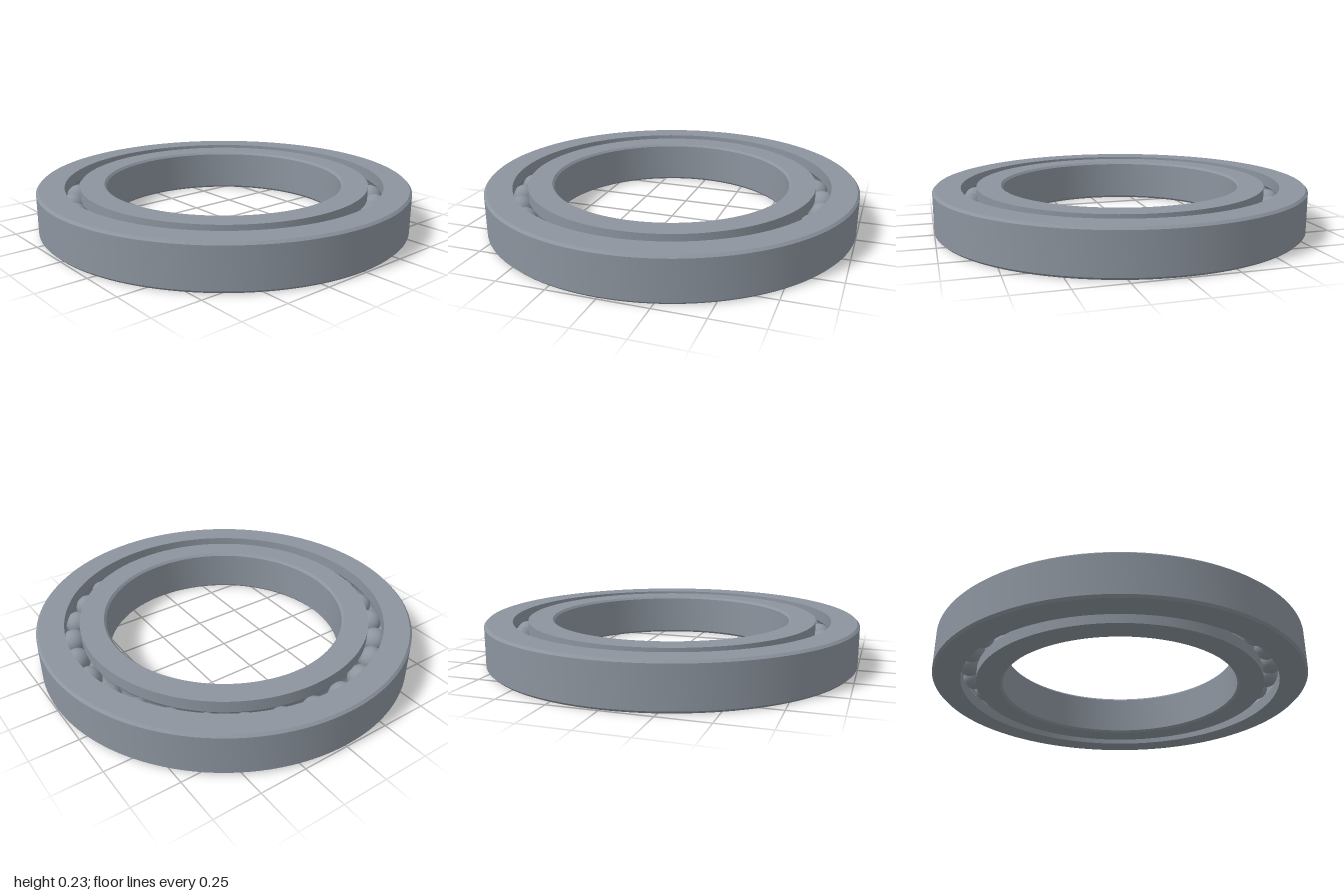
import * as THREE from 'three';
import { toCreasedNormals } from 'three/addons/utils/BufferGeometryUtils.js';

const HEIGHT = 0.23, MID = HEIGHT / 2;
const OUTER = 1, BORE = 0.635, CHAMFER = 0.012;
const OUTER_LIP = 0.855, INNER_LIP = 0.775;
const PITCH = (OUTER_LIP + INNER_LIP) / 2;
const BALL_RADIUS = 0.065, GROOVE_RADIUS = 0.066, BALL_COUNT = 29;

export function createModel() {
  const model = new THREE.Group();
  model.name = 'ballBearing';
  const steel = new THREE.MeshStandardMaterial({ color: 0x8c949e });
  steel.name = 'steel';

  // Arc of the raceway groove, in (radius, height), swept around the ball centre
  const half = Math.acos((PITCH - INNER_LIP) / GROOVE_RADIUS);
  const groove = (from, to) => Array.from({ length: 15 }, (_, i) => {
    const a = from + (to - from) * i / 14;
    return [PITCH + GROOVE_RADIUS * Math.cos(a), MID + GROOVE_RADIUS * Math.sin(a)];
  });

  // Revolve a closed profile, keeping its corners sharp
  const addRing = (name, profile) => {
    const points = [...profile, profile[0]].map(([r, y]) => new THREE.Vector2(r, y));
    const geometry = toCreasedNormals(new THREE.LatheGeometry(points, 128), 0.5);
    const ring = new THREE.Mesh(geometry, steel);
    ring.name = name;
    model.add(ring);
  };

  addRing('outerRing', [
    [OUTER - CHAMFER, 0], [OUTER, CHAMFER],
    [OUTER, HEIGHT - CHAMFER], [OUTER - CHAMFER, HEIGHT],
    [OUTER_LIP, HEIGHT], ...groove(half, -half), [OUTER_LIP, 0],
  ]);

  addRing('innerRing', [
    [INNER_LIP, 0], ...groove(Math.PI + half, Math.PI - half), [INNER_LIP, HEIGHT],
    [BORE + CHAMFER, HEIGHT], [BORE, HEIGHT - CHAMFER],
    [BORE, CHAMFER], [BORE + CHAMFER, 0],
  ]);

  // Balls spaced evenly round the raceway
  const balls = new THREE.Group();
  balls.name = 'balls';
  const ballGeometry = new THREE.SphereGeometry(BALL_RADIUS, 32, 20);
  for (let i = 0; i < BALL_COUNT; i++) {
    const a = i / BALL_COUNT * Math.PI * 2;
    const ball = new THREE.Mesh(ballGeometry, steel);
    ball.name = 'ball';
    ball.position.set(PITCH * Math.cos(a), MID, PITCH * Math.sin(a));
    balls.add(ball);
  }
  model.add(balls);
  return model;
}
